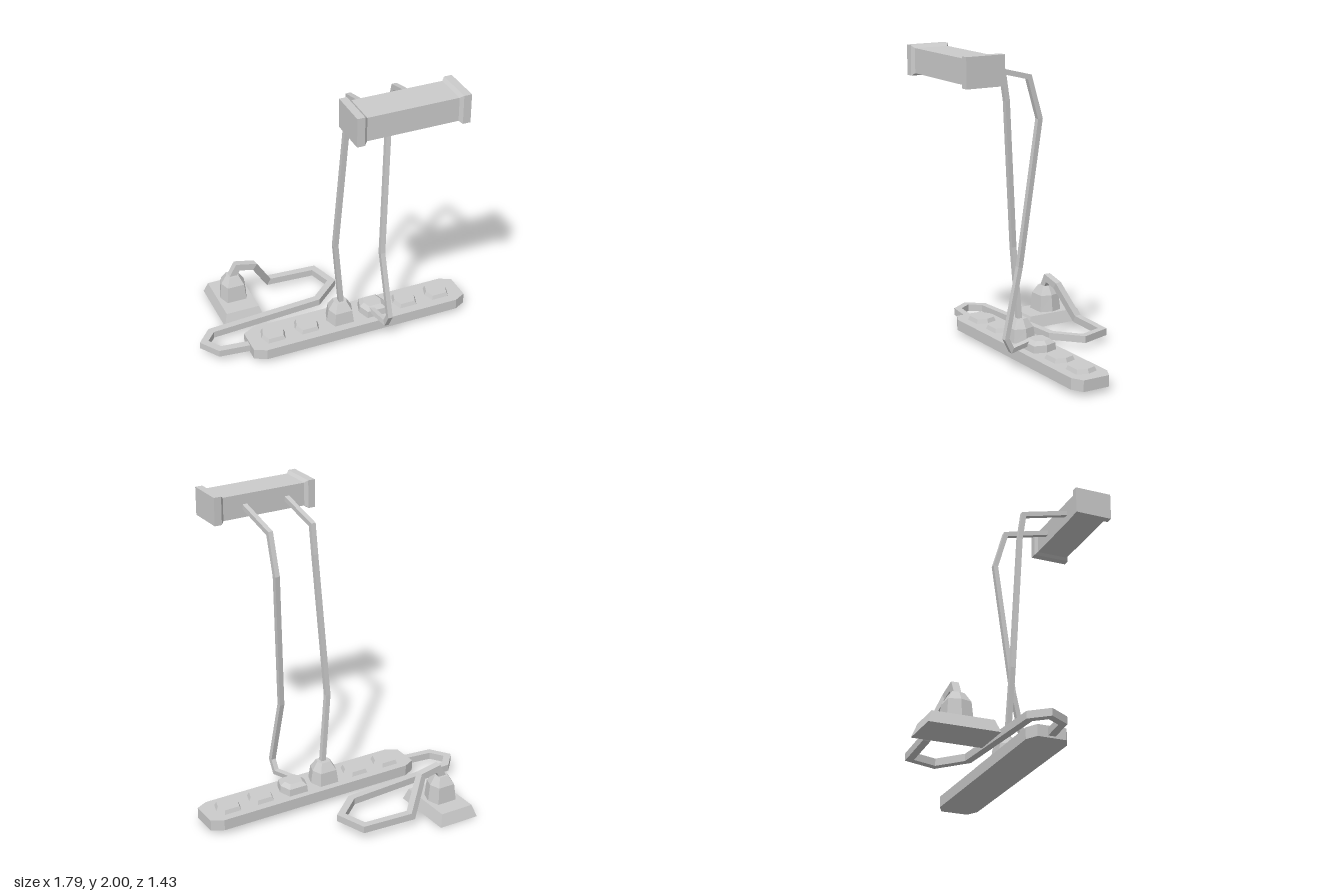
import * as THREE from 'three';

const V = (x, y, z) => new THREE.Vector3(x, y, z);
const material = new THREE.MeshStandardMaterial({ color: 0xcccccc, flatShading: true });

// Closed solid through rings that run counterclockwise seen from the last ring
function loft(name, rings) {
  const pos = [];
  const tri = (...pts) => pts.forEach((p) => pos.push(p.x, p.y, p.z));
  const n = rings[0].length;
  for (let k = 0; k < rings.length - 1; k++) {
    const r = rings[k], s = rings[k + 1];
    for (let i = 0; i < n; i++) {
      const j = (i + 1) % n;
      tri(r[i], r[j], s[j]);
      tri(r[i], s[j], s[i]);
    }
  }
  const first = rings[0], last = rings[rings.length - 1];
  for (let i = 1; i < n - 1; i++) {
    tri(first[0], first[i + 1], first[i]);
    tri(last[0], last[i], last[i + 1]);
  }
  const geometry = new THREE.BufferGeometry();
  geometry.setAttribute('position', new THREE.Float32BufferAttribute(pos, 3));
  geometry.computeVertexNormals();
  const mesh = new THREE.Mesh(geometry, material);
  mesh.name = name;
  return mesh;
}

// Hexagon stack with points on the x axis; levels are [y, halfWidth, halfDepth]
function hexStack(name, x, z, levels) {
  return loft(name, levels.map(([y, w, d]) => [
    [w, 0], [w * 0.72, -d], [-w * 0.72, -d], [-w, 0], [-w * 0.72, d], [w * 0.72, d],
  ].map(([px, pz]) => V(x + px, y, z + pz))));
}

// Square cable with mitred corners
function cable(name, size, coords) {
  const pts = coords.map((c) => V(...c));
  const dirs = pts.slice(1).map((p, i) => p.clone().sub(pts[i]).normalize());
  const side = dirs[0].clone().cross(V(0, 1, 0)).normalize();
  const up = side.clone().cross(dirs[0]);
  const h = size / 2;
  let ring = [[1, 1], [1, -1], [-1, -1], [-1, 1]].map(([a, b]) =>
    pts[0].clone().addScaledVector(side, a * h).addScaledVector(up, b * h));
  const rings = [ring];
  for (let i = 1; i < pts.length; i++) {
    const d = dirs[i - 1];
    const normal = d.clone().add(dirs[i] ?? d).normalize();
    ring = ring.map((p) => {
      const t = pts[i].clone().sub(p).dot(normal) / d.dot(normal);
      return p.clone().addScaledVector(d, t);
    });
    rings.push(ring);
  }
  return loft(name, rings);
}

export function createModel() {
  const model = new THREE.Group();
  model.name = 'powerStripWithAdapter';

  // Strip body with cut corners
  const cx = 0.142, cz = 0.05, w = 0.753, d = 0.13, bx = 0.076, bz = 0.04;
  const outline = [
    [w, d - bz], [w, bz - d], [w - bx, -d], [bx - w, -d],
    [-w, bz - d], [-w, d - bz], [bx - w, d], [w - bx, d],
  ];
  model.add(loft('stripBody', [0.03, 0.102].map((y) =>
    outline.map(([x, z]) => V(cx + x, y, cz + z)))));

  // Six raised sockets
  for (let i = 0; i < 6; i++) {
    model.add(hexStack('socket', -0.443 + i * 0.2345, 0.047,
      [[0.1, 0.083, 0.073], [0.128, 0.07, 0.062]]));
  }

  // Upright plugs, one in the strip and one in the wall plate
  const plug = (name, x, y, z, top) => model.add(hexStack(name, x, z, [
    [y, 0.093, 0.08], [0.188, 0.08, 0.07], [top, 0.045, 0.038],
  ]));
  plug('stripPlug', 0.028, 0.1, 0.047, 0.244);
  plug('wallPlug', -0.518, 0.075, -0.5, 0.244);

  // Low plug with its cable leaving sideways
  model.add(hexStack('flatPlug', 0.26, 0.045,
    [[0.1, 0.093, 0.083], [0.147, 0.088, 0.078], [0.17, 0.06, 0.052]]));

  // Bevelled wall plate
  model.add(loft('wallPlate', [[0, 0.139, 0.216], [0.077, 0.114, 0.188]].map(([y, a, b]) =>
    [[a, b], [a, -b], [-a, -b], [-a, b]].map(([x, z]) => V(-0.518 + x, y, -0.499 + z)))));

  // Adapter box with thicker bevelled ends
  const ends = [
    [-0.163, 1], [-0.115, 1], [-0.095, 0], [0.478, 0], [0.498, 1], [0.547, 1],
  ];
  model.add(loft('adapterBox', ends.map(([x, big]) => {
    const hy = big ? 0.091 : 0.075, hz = big ? 0.126 : 0.109;
    return [[1, -1], [1, 1], [-1, 1], [-1, -1]].map(([a, b]) =>
      V(x, 1.909 + a * hy, 0.588 + b * hz));
  })));

  // Cables rising to the adapter box
  model.add(cable('leftCable', 0.032, [
    [0.03, 1.905, 0.49], [0.03, 1.825, 0.168], [0.03, 1.64, 0.14],
    [-0.014, 0.7, 0.067], [0.032, 0.23, 0.052],
  ]));
  model.add(cable('rightCable', 0.032, [
    [0.328, 1.905, 0.49], [0.328, 1.825, 0.168], [0.328, 1.57, 0.093],
    [0.257, 0.65, 0.188], [0.27, 0.21, 0.293], [0.267, 0.132, 0.252],
    [0.22, 0.15, 0.06],
  ]));

  // Supply cable looping from the strip end to the wall plug
  model.add(cable('supplyCable', 0.046, [
    [-0.58, 0.065, 0.052], [-0.8, 0.065, 0.027], [-0.87, 0.065, -0.08],
    [-0.79, 0.065, -0.172], [-0.02, 0.065, -0.225], [0.147, 0.065, -0.372],
    [0.089, 0.065, -0.554], [-0.243, 0.065, -0.575], [-0.367, 0.278, -0.498],
    [-0.484, 0.302, -0.5], [-0.53, 0.22, -0.5],
  ]));

  return model;
}
